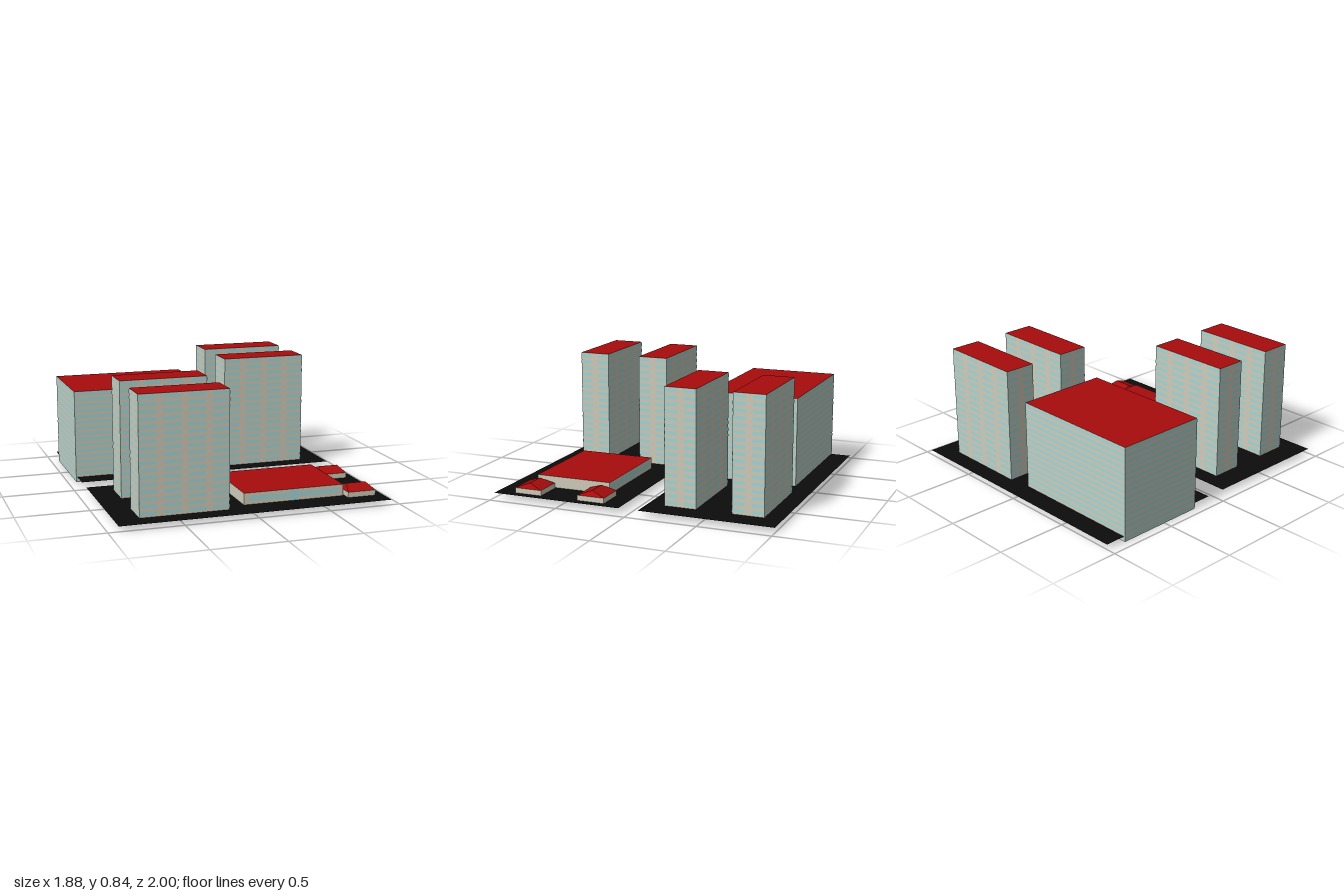
import * as THREE from 'three';
import { mergeGeometries } from 'three/addons/utils/BufferGeometryUtils.js';

const GROUND = 0.035;

function material(color) {
  return new THREE.MeshStandardMaterial({ color, side: THREE.DoubleSide });
}

// Runs fn for the four sides of a w x d block, giving the side's width
// and a function that places a flat piece (centre u, y) on that side.
function eachSide(w, d, fn) {
  for (let i = 0; i < 4; i++) {
    const width = i % 2 ? d : w;
    const out = (i % 2 ? w : d) / 2;
    const place = (pw, ph, u, y, lift = 0) =>
      new THREE.PlaneGeometry(pw, ph).translate(u, y, out + lift).rotateY(i * Math.PI / 2);
    fn(width, place, i);
  }
}

function flat(w, d, y) {
  return new THREE.PlaneGeometry(w, d).rotateX(-Math.PI / 2).translate(0, y, 0);
}

// Four slopes meeting at a ridge along x
function hipRoof(w, d, h, ridge) {
  const x = w / 2, z = d / 2, r = ridge / 2;
  const a = [-x, 0, z], b = [x, 0, z], c = [x, 0, -z], e = [-x, 0, -z];
  const l = [-r, h, 0], m = [r, h, 0];
  const faces = [a, b, m, a, m, l, b, c, m, c, e, l, c, l, m, e, a, l];
  const g = new THREE.BufferGeometry();
  g.setAttribute('position', new THREE.Float32BufferAttribute(faces.flat(), 3));
  g.computeVertexNormals();
  return g;
}

export function createModel() {
  const model = new THREE.Group();
  const wallMat = material(0xd0ccba);
  const glassMat = material(0xa4d6d6);
  const roofMat = material(0xa80c0c);
  const groundMat = material(0x0c0c0c);

  function add(parent, name, geometry, mat) {
    const mesh = new THREE.Mesh(geometry, mat);
    mesh.name = name;
    parent.add(mesh);
    return mesh;
  }

  // Open wall shell spanning x0..x1, z0..z1, y0..y1, with optional window pieces
  function building(name, [x0, x1], [z0, z1], [y0, y1], windows) {
    const group = new THREE.Group();
    group.name = name;
    group.position.set((x0 + x1) / 2, y0, (z0 + z1) / 2);
    const w = x1 - x0, d = z1 - z0, h = y1 - y0;
    const walls = [], panes = [];
    eachSide(w, d, (width, place, side) => {
      walls.push(place(width, h, 0, h / 2));
      if (windows) panes.push(...windows(width, h, place, side));
    });
    add(group, 'walls', mergeGeometries(walls), wallMat);
    if (panes.length) add(group, 'windows', mergeGeometries(panes), glassMat);
    model.add(group);
    return { group, w, d, h };
  }

  function flatRoof({ group, w, d, h }) {
    add(group, 'roof', flat(w, d, h), roofMat);
  }

  // Rows of glass split into bays by plain wall strips
  const bands = (floors, longBays, shortBays, strip) => (width, h, place, side) => {
    const pieces = [], step = h / floors;
    const bays = side % 2 ? shortBays : longBays;
    const bayWidth = (width - strip * (bays - 1)) / bays;
    for (let f = 0; f < floors; f++)
      for (let b = 0; b < bays; b++) {
        const u = -width / 2 + bayWidth / 2 + b * (bayWidth + strip);
        pieces.push(place(bayWidth, step * 0.5, u, (f + 0.55) * step, 0.0012));
      }
    return pieces;
  };

  // Two ground slabs with a street between them
  for (const s of [-1, 1]) {
    const ground = add(model, s > 0 ? 'frontGround' : 'backGround', flat(1.87, 0.93, GROUND), groundMat);
    ground.position.set(0.005, 0, s * 0.535);
  }

  // Four slab towers in two pairs
  const towers = [
    ['frontTower', [-0.765, -0.16], [0.655, 0.875]],
    ['middleTower', [-0.765, -0.16], [0.19, 0.407]],
    ['backInnerTower', [0.17, 0.775], [-0.41, -0.19]],
    ['backOuterTower', [0.17, 0.775], [-0.877, -0.658]],
  ];
  for (const [name, x, z] of towers)
    flatRoof(building(name, x, z, [GROUND, 0.835], bands(17, 4, 2, 0.045)));

  // Wide block, its open foot reaching below the ground slab
  flatRoof(building('wideBlock', [-0.94, 0.015], [-0.855, -0.215], [0, 0.657], bands(16, 1, 1, 0)));

  // Low hall with a window strip and a tall central entrance on its long sides
  flatRoof(building('lowHall', [-0.038, 0.672], [0.258, 0.808], [GROUND, 0.115],
    (width, h, place, side) => side % 2 ? [] : [
      place(0.29, 0.032, -0.18, h * 0.5, 0.0012),
      place(0.06, 0.07, 0, h * 0.45, 0.0012),
      place(0.29, 0.032, 0.18, h * 0.5, 0.0012),
    ]));

  // Two small houses with hipped roofs
  for (const [name, z] of [['frontHouse', 0.768], ['backHouse', 0.298]]) {
    const { group, w, d, h } = building(name, [0.685, 0.885], [z - 0.098, z + 0.098], [GROUND, 0.072]);
    add(group, 'hipRoof', hipRoof(w, d, 0.036, 0.14), roofMat).position.y = h;
  }

  return model;
}
